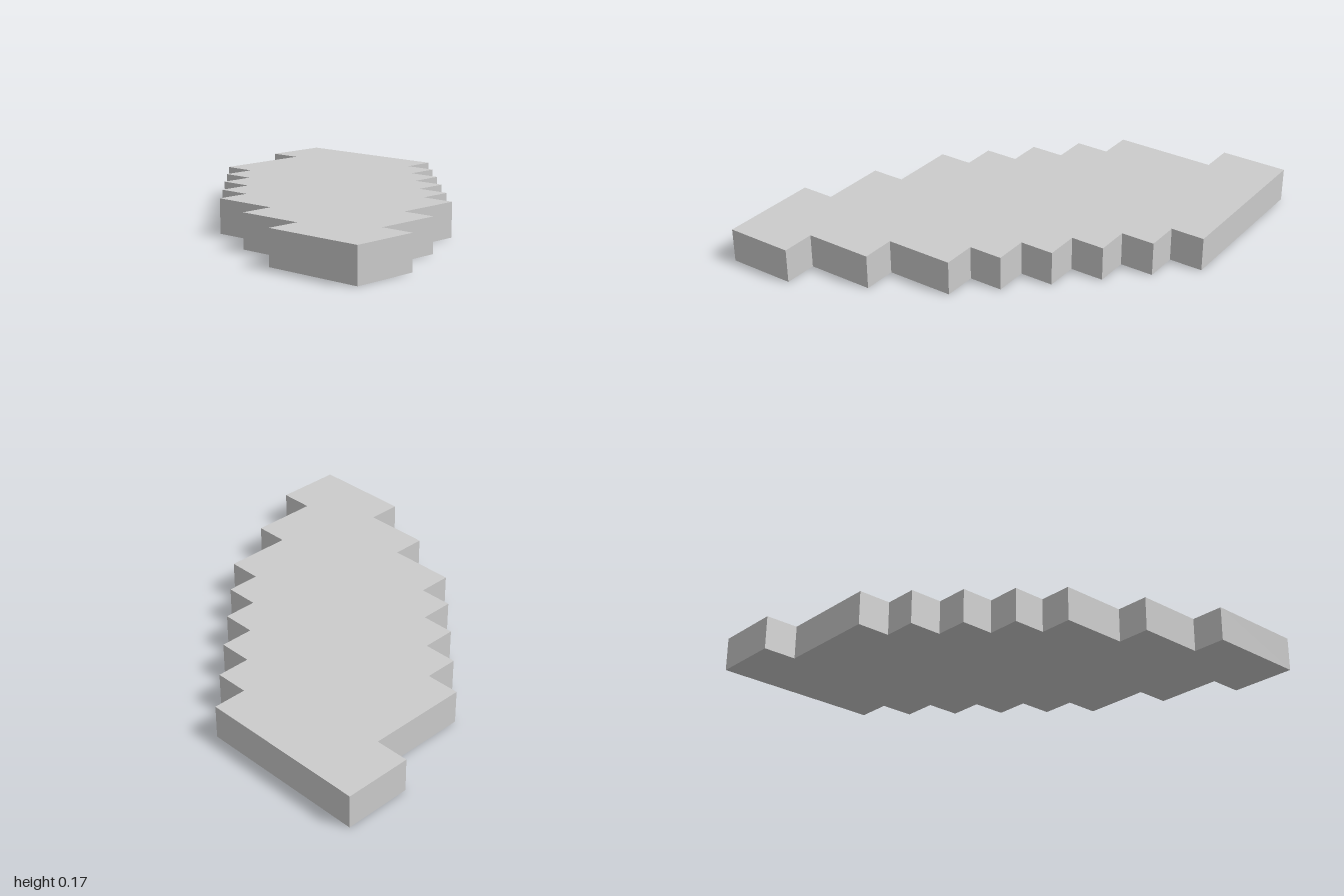
import * as THREE from 'three';

const CELL = 1 / 6; // edge of one grid cell

// Left and right edge of each row of cells, from back to front, in cells
const ROWS = [
  [3.5, 5.5], [0.5, 5.5], [-0.5, 5.5], [-1.5, 5.5], [-2.5, 5.5], [-3.5, 4.5],
  [-3.5, 3.5], [-4.5, 2.5], [-4.5, 1.5], [-5.5, 0.5], [-5.5, -1.5], [-5.5, -3.5],
];

// Stepped outline around the rows; shape y is -z
function steppedOutline() {
  const points = [];
  const add = (x, z) => {
    const last = points[points.length - 1];
    // Where two rows share an edge, drop the joint between them
    if (last && last.x === x * CELL && last.y === -z * CELL) points.pop();
    else points.push(new THREE.Vector2(x * CELL, -z * CELL));
  };
  const half = ROWS.length / 2;
  // Down the left side, then back up the right side
  for (let i = 0; i < ROWS.length; i++) {
    add(ROWS[i][0], i - half);
    add(ROWS[i][0], i + 1 - half);
  }
  for (let i = ROWS.length - 1; i >= 0; i--) {
    add(ROWS[i][1], i + 1 - half);
    add(ROWS[i][1], i - half);
  }
  return new THREE.Shape(points);
}

export function createModel() {
  const group = new THREE.Group();
  group.name = 'steppedSlab';

  // One-cell-thick slab lying on the ground
  const geometry = new THREE.ExtrudeGeometry(steppedOutline(), { depth: CELL, bevelEnabled: false });
  geometry.rotateX(-Math.PI / 2);
  const material = new THREE.MeshStandardMaterial({ color: 0xcccccc, flatShading: true });
  const slab = new THREE.Mesh(geometry, material);
  slab.name = 'slab';
  group.add(slab);

  return group;
}
